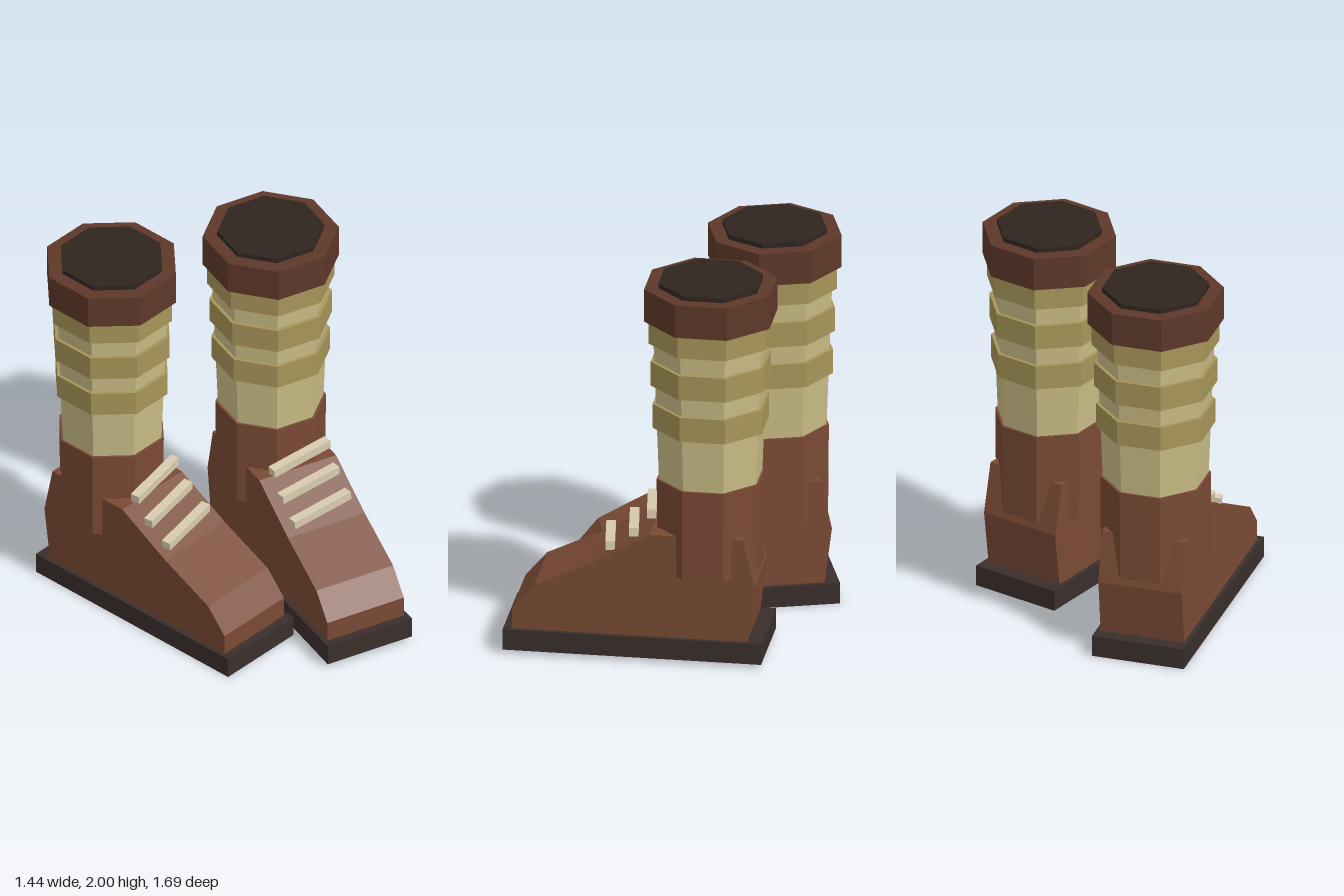
import * as THREE from 'three';

const mat = (color) => new THREE.MeshStandardMaterial({ color, flatShading: true });

function createBoot(name, M) {
  const boot = new THREE.Group();
  boot.name = name;
  const add = (part, geometry, material) => {
    const mesh = new THREE.Mesh(geometry, material);
    mesh.name = part;
    boot.add(mesh);
    return mesh;
  };

  // Octagonal section with flat faces to front and sides
  const ring = (part, y0, y1, rBottom, rTop, material) => {
    const g = new THREE.CylinderGeometry(rTop, rBottom, y1 - y0, 8);
    g.rotateY(Math.PI / 8);
    g.translate(0, (y0 + y1) / 2, 0);
    add(part, g, material);
  };

  // Sole slab
  const sole = add('sole', new THREE.BoxGeometry(0.485, 0.11, 1.312), M.sole);
  sole.position.set(0, 0.055, 0.363);

  // Shoe: side profile (z, y) extruded across the width
  const profile = [
    [-0.218, 0.11], [0.974, 0.11], [0.974, 0.22], [0.863, 0.35],
    [0.57, 0.49], [0.277, 0.66], [-0.2, 0.66], [-0.255, 0.4],
  ];
  const shape = new THREE.Shape(profile.map(([z, y]) => new THREE.Vector2(z, y)));
  const shoe = new THREE.ExtrudeGeometry(shape, { depth: 0.44, bevelEnabled: false });
  shoe.rotateY(-Math.PI / 2);
  shoe.translate(0.22, 0, 0);
  add('shoe', shoe, M.leather);

  // Ankle, wrapped shaft and bands
  ring('ankle', 0.44, 0.92, 0.275, 0.279, M.leather);
  ring('shaft', 0.92, 1.78, 0.267, 0.3, M.cloth);
  ring('lowerBand', 1.2, 1.33, 0.3, 0.3, M.band);
  ring('middleBand', 1.43, 1.56, 0.31, 0.31, M.band);
  ring('upperBand', 1.66, 1.78, 0.322, 0.322, M.band);

  // Cuff and dark opening
  ring('cuff', 1.78, 1.955, 0.344, 0.344, M.cuff);
  ring('opening', 1.9, 1.98, 0.27, 0.27, M.opening);

  // Laces, slightly askew
  [[0.555, 0.508], [0.635, 0.388], [0.74, 0.297]].forEach(([y, z], i) => {
    const lace = add('lace' + (i + 1), new THREE.BoxGeometry(0.355, 0.045, 0.048), M.lace);
    lace.position.set(0, y, z);
    lace.rotation.set(0, 0.14, 0.09);
  });
  return boot;
}

export function createModel() {
  const model = new THREE.Group();
  model.name = 'boots';
  const M = {
    sole: mat(0x3a2f2b),
    leather: mat(0x7a4a35),
    cloth: mat(0xc8bc85),
    band: mat(0xa89559),
    cuff: mat(0x5e3829),
    opening: mat(0x30251f),
    lace: mat(0xd8ccb0),
  };

  const left = createBoot('leftBoot', M);
  left.position.set(0.382, 0.02, -0.205);
  left.rotation.y = -0.14;

  const right = createBoot('rightBoot', M);
  right.position.set(-0.385, 0, -0.515);
  right.rotation.y = 0.175;

  model.add(left, right);
  return model;
}
